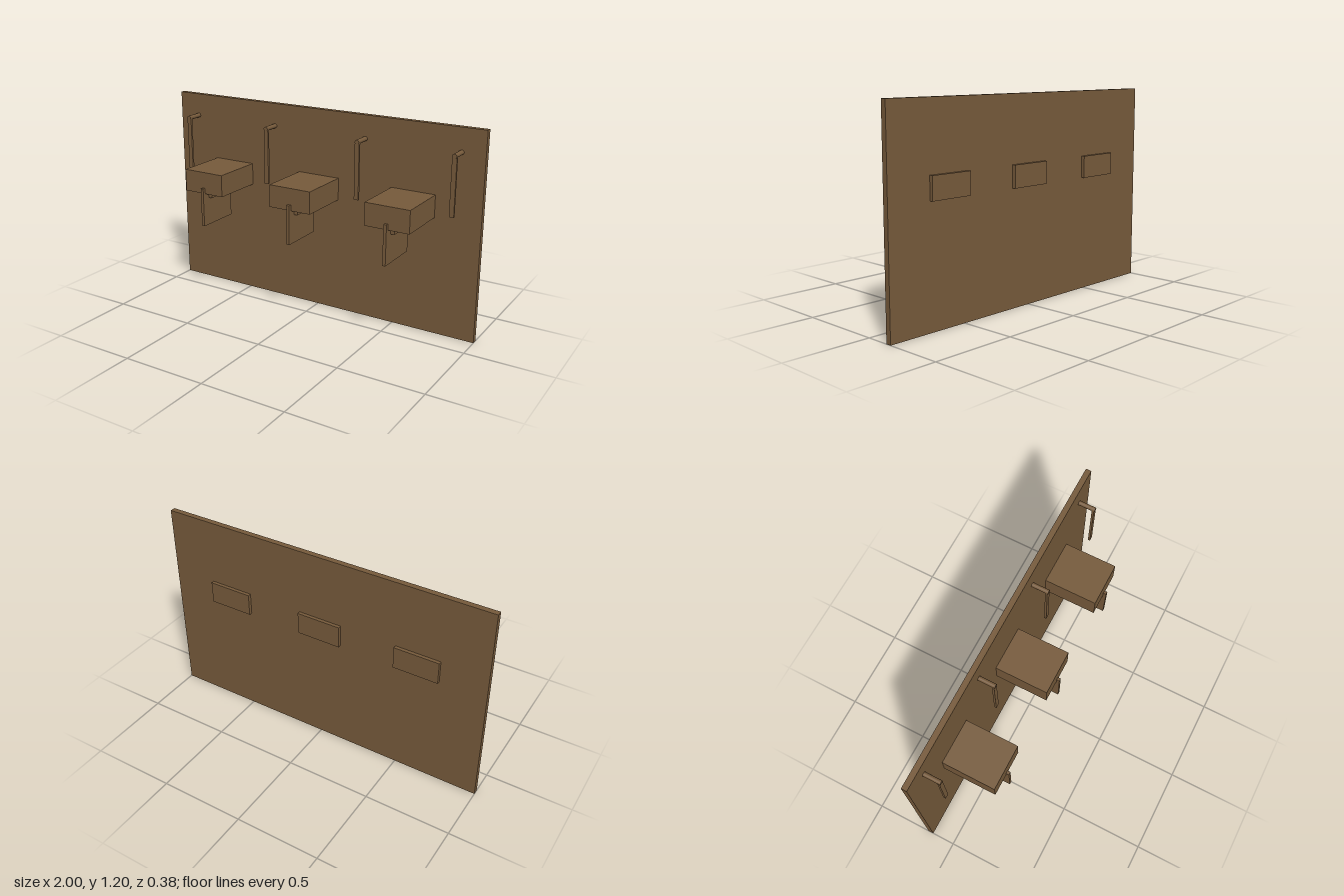
import * as THREE from 'three';

export function createModel() {
  const model = new THREE.Group();
  const wood = new THREE.MeshStandardMaterial({ color: 0x765a3b });
  wood.name = 'brown wood';

  // Box given by its minimum and maximum corners
  function box(name, parent, [x0, y0, z0], [x1, y1, z1]) {
    const mesh = new THREE.Mesh(new THREE.BoxGeometry(x1 - x0, y1 - y0, z1 - z0), wood);
    mesh.position.set((x0 + x1) / 2, (y0 + y1) / 2, (z0 + z1) / 2);
    mesh.name = name;
    parent.add(mesh);
  }

  // Upright panel
  box('backPanel', model, [-1, 0, -0.17], [1, 1.2, -0.138]);

  // Three blocks passing through the panel, each with a rail and a fin below
  for (const x of [-0.6, 0, 0.6]) {
    const unit = new THREE.Group();
    unit.name = 'blockUnit';
    unit.position.x = x;
    box('block', unit, [-0.132, 0.683, -0.19], [0.132, 0.813, 0.175]);
    box('rail', unit, [-0.032, 0.652, -0.15], [0.032, 0.683, 0.143]);
    box('fin', unit, [-0.009, 0.486, -0.073], [0.009, 0.717, 0.193]);
    model.add(unit);
  }

  // Four pegs, each with a hanging strap
  for (const x of [-0.867, -0.3, 0.3, 0.867]) {
    const hanger = new THREE.Group();
    hanger.name = 'hanger';
    hanger.position.x = x;
    const peg = new THREE.Mesh(new THREE.CylinderGeometry(0.013, 0.013, 0.11, 16), wood);
    peg.name = 'peg';
    peg.rotation.x = Math.PI / 2;
    peg.position.set(0, 1.067, -0.093);
    hanger.add(peg);
    box('strap', hanger, [-0.0135, 0.737, -0.054], [0.0135, 1.069, -0.041]);
    model.add(hanger);
  }

  return model;
}
